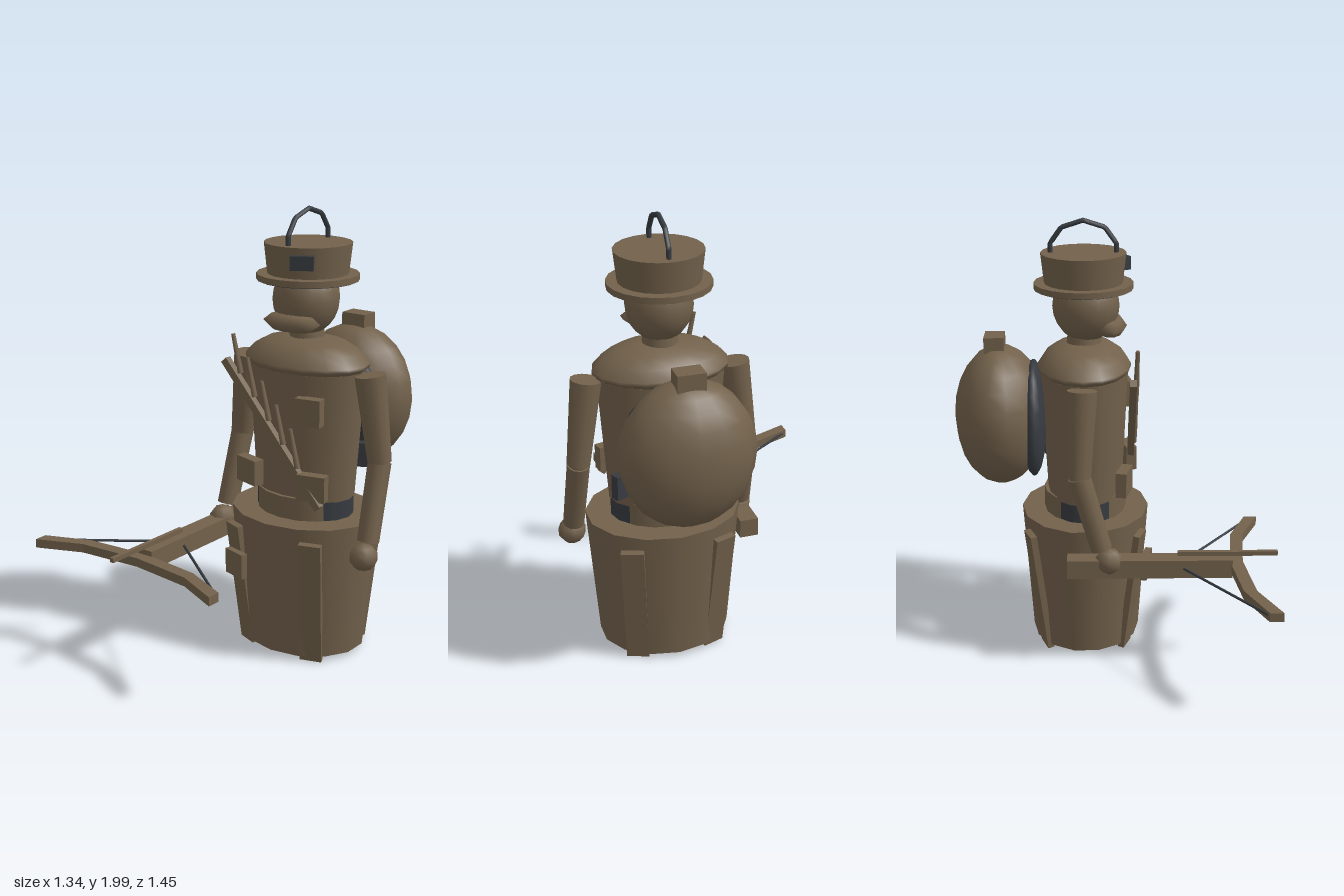
import * as THREE from 'three';

const CX = 0.215, CZ = -0.133; // body axis

export function createModel() {
  const root = new THREE.Group();
  const tan = new THREE.MeshStandardMaterial({ color: 0x72614b });
  tan.name = 'khaki';
  const dark = new THREE.MeshStandardMaterial({ color: 0x373b40 });
  dark.name = 'dark steel';

  const add = (name, geo, mat = tan, pos = [0, 0, 0], rot = [0, 0, 0]) => {
    const m = new THREE.Mesh(geo, mat);
    m.name = name;
    m.position.set(...pos);
    m.rotation.set(...rot);
    root.add(m);
    return m;
  };
  const box = (name, size, pos, rot, mat) => add(name, new THREE.BoxGeometry(...size), mat, pos, rot);

  // Elliptical section between two heights on the body axis
  const drum = (name, y0, y1, r0, r1, depth, seg = 16, mat = tan) => {
    const m = add(name, new THREE.CylinderGeometry(r1, r0, y1 - y0, seg), mat, [CX, (y0 + y1) / 2, CZ]);
    m.scale.z = depth;
    return m;
  };
  const ball = (name, pos, r, seg = 14, rows = 10, mat = tan) => {
    const g = new THREE.SphereGeometry(1, seg, rows);
    g.rotateY(Math.PI / 2);
    g.scale(...r);
    return add(name, g, mat, pos);
  };
  // Tapered rod between two points
  const rod = (name, a, b, ra, rb, seg, mat = tan) => {
    const A = new THREE.Vector3(...a), B = new THREE.Vector3(...b);
    const m = add(name, new THREE.CylinderGeometry(rb, ra, A.distanceTo(B), seg), mat);
    m.position.copy(A).add(B).multiplyScalar(0.5);
    m.quaternion.setFromUnitVectors(new THREE.Vector3(0, 1, 0), B.sub(A).normalize());
    return m;
  };

  // Skirt of the coat with four tilted seams
  drum('coatSkirt', 0.03, 0.65, 0.295, 0.345, 0.85, 14);
  for (const sx of [-1, 1]) for (const sz of [-1, 1]) {
    const seam = box('skirtSeam', [0.1, 0.585, 0.03],
      [CX + sx * 0.19, 0.3, CZ + sz * 0.215], [0, 0, 0]);
    seam.rotation.set(sz * 0.14, sx * sz * 0.35, -sx * 0.06);
  }

  // Waist, belt and torso
  drum('waist', 0.64, 0.75, 0.225, 0.225, 0.84);
  drum('belt', 0.65, 0.735, 0.235, 0.235, 0.74, 16, dark);
  drum('torso', 0.735, 1.31, 0.24, 0.28, 0.71);

  // Shoulder cape
  const capeProfile = [[0, 1.295], [0.275, 1.295], [0.283, 1.325], [0.297, 1.325], [0.297, 1.34],
    [0.255, 1.385], [0.19, 1.42], [0.1, 1.44], [0, 1.445]];
  const cape = add('cape', new THREE.LatheGeometry(capeProfile.map(p => new THREE.Vector2(...p)), 16),
    tan, [CX, 0, CZ]);
  cape.scale.z = 0.71;

  // Head
  drum('neck', 1.42, 1.49, 0.08, 0.072, 1);
  ball('head', [CX, 1.605, CZ + 0.01], [0.145, 0.16, 0.15], 16, 12);
  ball('beard', [CX, 1.515, -0.015], [0.14, 0.045, 0.075], 10, 4);

  // Hat with handle
  drum('hatBrim', 1.685, 1.712, 0.222, 0.222, 1, 20);
  drum('brimLining', 1.681, 1.685, 0.212, 0.212, 1, 20, dark);
  drum('hatCrown', 1.71, 1.845, 0.175, 0.19, 1, 20);
  box('hatBadge', [0.1, 0.06, 0.03], [0.306, 1.785, 0.04], [0, 0.52, 0], dark);
  const arch = [[0.012, 1.83], [0.012, 1.885], [-0.038, 1.955], [-0.133, 1.985],
    [-0.228, 1.955], [-0.278, 1.885], [-0.278, 1.83]];
  const path = new THREE.CurvePath();
  for (let i = 1; i < arch.length; i++) {
    const v = ([z, y]) => new THREE.Vector3(CX, y, z);
    path.add(new THREE.LineCurve3(v(arch[i - 1]), v(arch[i])));
  }
  add('hatHandle', new THREE.TubeGeometry(path, 36, 0.011, 6), dark);

  // Arms, mirrored about the body axis
  for (const s of [1, -1]) {
    const x = d => CX + s * d;
    const shoulder = [x(0.325), 1.31, -0.14], elbow = [x(0.375), 0.93, -0.155], wrist = [x(0.388), 0.595, -0.06];
    rod('upperArm', elbow, shoulder, 0.052, 0.068, 12);
    ball('elbow', elbow, [0.046, 0.046, 0.046], 10, 6);
    rod('forearm', wrist, elbow, 0.048, 0.051, 12);
    ball('hand', [x(0.39), 0.535, -0.025], [0.064, 0.06, 0.064], 8, 5);
  }

  // Round pack with back pad and top block
  ball('pack', [CX, 1.1, -0.515], [0.29, 0.323, 0.21], 14, 12);
  ball('packPad', [CX, 1.08, -0.365], [0.245, 0.27, 0.06], 14, 10, dark);
  box('packBlock', [0.12, 0.075, 0.09], [CX, 1.435, -0.535]);
  box('hipCase', [0.11, 0.11, 0.04], [0.43, 0.89, -0.315], [0, 0.45, 0], dark);

  // Diagonal strap with five bolts
  box('strap', [0.035, 0.77, 0.03], [0.187, 1.04, 0.082], [0, 0, 0.72]);
  for (let i = 0; i < 5; i++) {
    const x = 0.012 + i * 0.077, y = 1.37 - i * 0.0925;
    rod('strapBolt', [x + 0.018, y - 0.085, 0.098], [x - 0.02, y + 0.085, 0.102], 0.013, 0.009, 6);
  }

  // Pouches
  box('beltPouch', [0.13, 0.115, 0.05], [0.04, 0.833, 0.045], [0, -0.25, 0]);
  box('beltPouch', [0.13, 0.115, 0.05], [0.395, 0.833, 0.07], [0, 0.25, 0]);
  box('chestPouch', [0.115, 0.12, 0.05], [0.365, 1.16, 0.055], [0, 0.2, 0]);
  box('skirtPouch', [0.118, 0.115, 0.03], [0.042, 0.418, 0.148], [0, -0.25, 0]);

  // Crossbow: stock, bent bow, strings and loaded bolt
  const BX = -0.168;
  box('crossbowStock', [0.085, 0.085, 0.735], [BX, 0.508, 0.155]);
  const back = [[-0.503, 0.63], [-0.297, 0.545], [-0.04, 0.518]];
  const near = [[-0.503, 0.69], [-0.297, 0.602], [0, 0.572]];
  const flip = list => list.map(([x, z]) => [-x, z]).reverse();
  const outline = [...back, ...flip(back), ...near.slice(0, 2).map(([x, z]) => [-x, z]), ...flip(near).slice(0, 1),
    near[1], near[0]];
  const bowGeo = new THREE.ExtrudeGeometry(new THREE.Shape(outline.map(([x, z]) => new THREE.Vector2(x, z))),
    { depth: 0.04, bevelEnabled: false });
  bowGeo.rotateX(Math.PI / 2);
  add('crossbowBow', bowGeo, tan, [BX, 0.527, 0]);
  for (const s of [-1, 1])
    rod('bowString', [BX + s * 0.495, 0.51, 0.635], [BX + s * 0.03, 0.51, 0.3], 0.006, 0.006, 6, dark);
  box('loadedBolt', [0.02, 0.02, 0.445], [BX, 0.568, 0.503]);

  return root;
}
